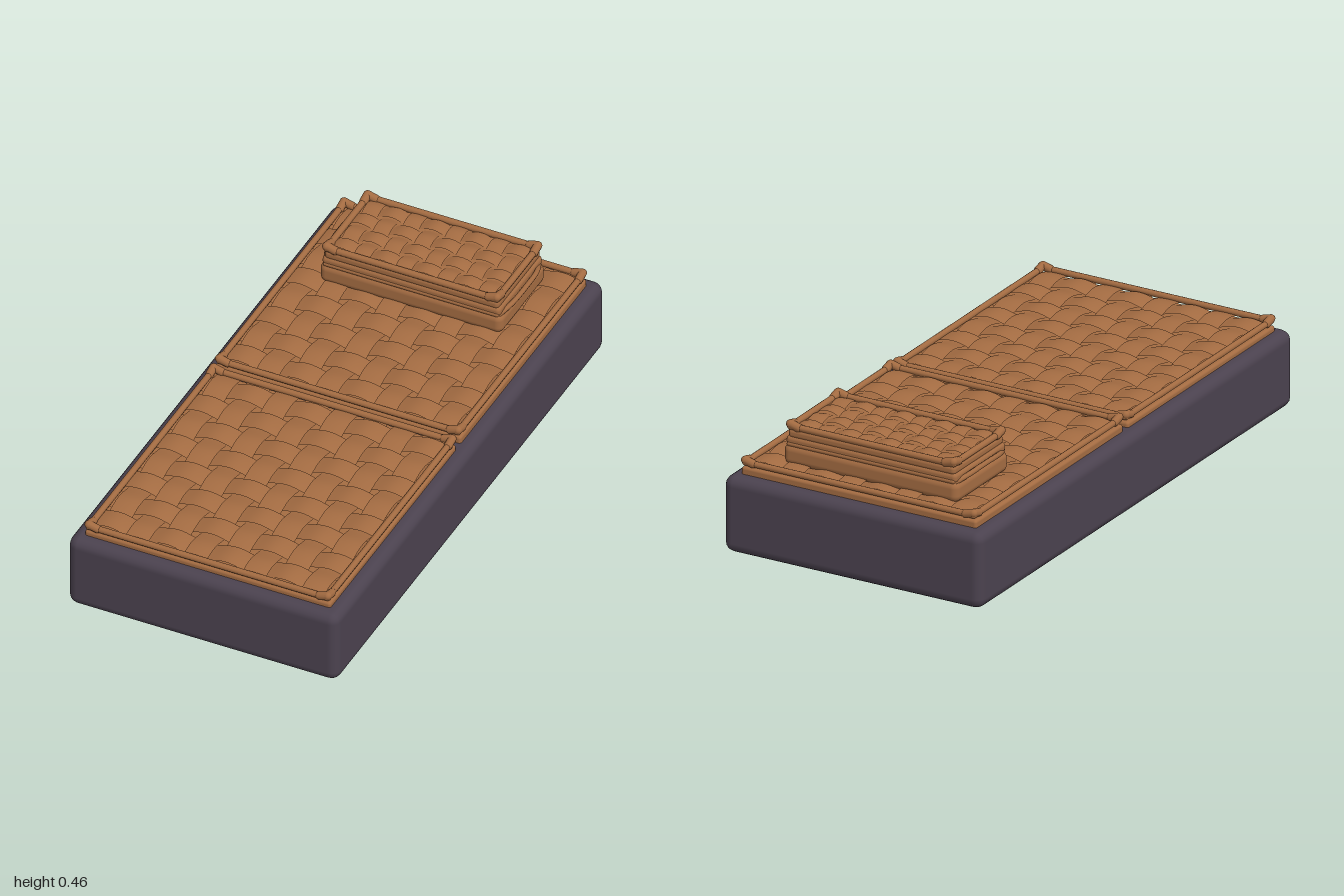
import * as THREE from 'three';
import { RoundedBoxGeometry } from 'three/addons/geometries/RoundedBoxGeometry.js';

const wicker = new THREE.MeshStandardMaterial({ color: 0xa46c42, side: THREE.DoubleSide });
wicker.name = 'wicker brown';
const baseMat = new THREE.MeshStandardMaterial({ color: 0x4b424f });
baseMat.name = 'dark plum';

function add(parent, name, geometry, material, x = 0, y = 0, z = 0) {
  const mesh = new THREE.Mesh(geometry, material);
  mesh.name = name;
  mesh.position.set(x, y, z);
  parent.add(mesh);
  return mesh;
}

// Round-ended rod between two points
function rod(parent, name, a, b, radius) {
  const from = new THREE.Vector3(...a), to = new THREE.Vector3(...b);
  const dir = to.clone().sub(from);
  const mesh = add(parent, name, new THREE.CapsuleGeometry(radius, dir.length(), 4, 10), wicker);
  mesh.position.copy(from).add(to).multiplyScalar(0.5);
  mesh.quaternion.setFromUnitVectors(new THREE.Vector3(0, 1, 0), dir.normalize());
}

// One woven ribbon, centred on its own origin, rising and dipping once per cell
function ribbon(width, length, cells, amp, sign) {
  const g = new THREE.PlaneGeometry(width, length, 4, cells * 8);
  g.rotateX(-Math.PI / 2);
  const p = g.attributes.position;
  for (let i = 0; i < p.count; i++) {
    const t = (p.getZ(i) / length + 0.5) * cells;
    const v = p.getX(i) / (width / 2);
    p.setY(i, amp * (sign * Math.sin(Math.PI * t) - 0.3 * v * v));
  }
  g.computeVertexNormals();
  return g;
}

// Over-and-under weave filling a rectangle
function weave(parent, w, d, nx, nz, y, amp) {
  const px = w / nx, pz = d / nz;
  for (let i = 0; i < nx; i++) {
    const g = ribbon(px * 0.78, d, nz, amp, i % 2 ? -1 : 1);
    add(parent, 'lengthwiseRibbon', g, wicker, -w / 2 + (i + 0.5) * px, y, 0);
  }
  for (let j = 0; j < nz; j++) {
    const g = ribbon(pz * 0.78, w, nx, amp, j % 2 ? 1 : -1).rotateY(Math.PI / 2);
    add(parent, 'crosswiseRibbon', g, wicker, 0, y, -d / 2 + (j + 0.5) * pz);
  }
}

// Rectangular rail with raised, wrapped corners
function frame(parent, hx, hz, y, r) {
  for (const s of [-1, 1]) {
    rod(parent, 'endRail', [-hx, y, s * hz], [hx, y, s * hz], r);
    rod(parent, 'sideRail', [s * hx, y, -hz], [s * hx, y, hz], r);
    for (const q of [-1, 1]) {
      const tip = [s * hx, y + 0.008, q * hz];
      rod(parent, 'cornerWrap', tip, [s * (hx - 0.03), y, q * hz], r * 1.3);
      rod(parent, 'cornerWrap', tip, [s * hx, y, q * (hz - 0.03)], r * 1.3);
    }
  }
}

function mat(name, z, lift) {
  const g = new THREE.Group();
  g.name = name;
  g.position.set(0, lift, z);
  add(g, 'matSlab', new RoundedBoxGeometry(0.89, 0.035, 0.94, 3, 0.01), wicker, 0, 0.278, 0);
  frame(g, 0.432, 0.463, 0.311, 0.011);
  weave(g, 0.85, 0.91, 8, 8, 0.307, 0.01);
  return g;
}

function pillow() {
  const g = new THREE.Group();
  g.name = 'headrest';
  g.position.set(0, 0, -0.715);
  // Stacked swelling sides
  add(g, 'lowerCushion', new RoundedBoxGeometry(0.662, 0.075, 0.335, 4, 0.025), wicker, 0, 0.339, 0);
  add(g, 'middleCushion', new RoundedBoxGeometry(0.645, 0.035, 0.325, 4, 0.014), wicker, 0, 0.387, 0);
  add(g, 'upperCushion', new RoundedBoxGeometry(0.632, 0.034, 0.318, 4, 0.014), wicker, 0, 0.413, 0);
  for (const s of [-1, 1]) {
    // Bowed bands at the two ends
    const bow = new THREE.CatmullRomCurve3([
      new THREE.Vector3(s * 0.312, 0.37, -0.152),
      new THREE.Vector3(s * 0.333, 0.385, -0.09),
      new THREE.Vector3(s * 0.339, 0.391, 0),
      new THREE.Vector3(s * 0.333, 0.385, 0.09),
      new THREE.Vector3(s * 0.312, 0.37, 0.152),
    ]);
    add(g, 'bowedBand', new THREE.TubeGeometry(bow, 20, 0.009, 8), wicker);
    rod(g, 'seamRail', [-0.31, 0.377, s * 0.158], [0.31, 0.377, s * 0.158], 0.008);
  }
  frame(g, 0.308, 0.152, 0.437, 0.0115);
  weave(g, 0.6, 0.29, 8, 4, 0.435, 0.009);
  return g;
}

export function createModel() {
  const model = new THREE.Group();
  model.name = 'wovenLounger';
  add(model, 'base', new RoundedBoxGeometry(0.98, 0.27, 2, 2, 0.036), baseMat, 0, 0.135, 0);
  model.add(mat('frontMat', 0.486, -0.007));
  model.add(mat('backMat', -0.483, 0));
  model.add(pillow());
  return model;
}
